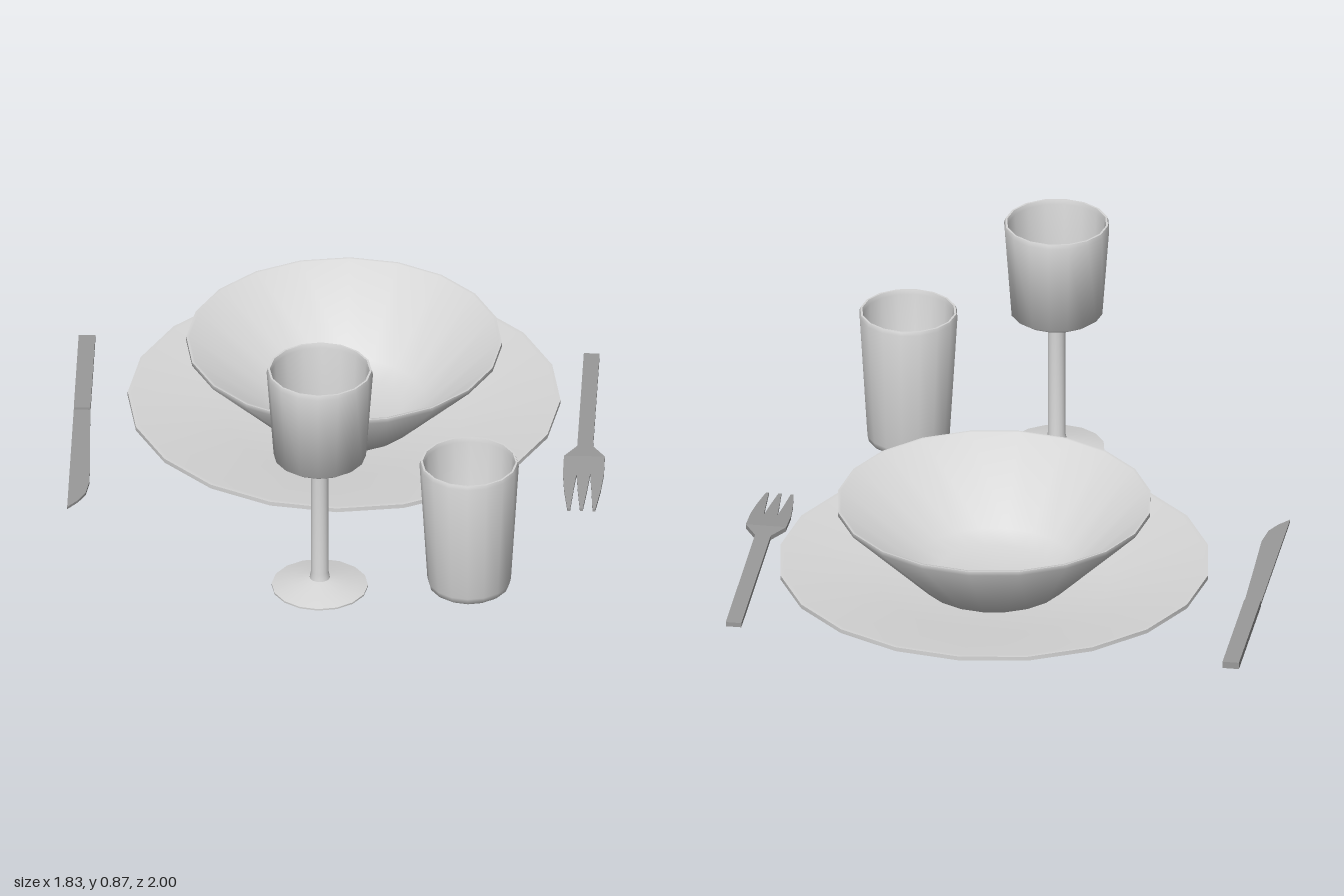
import * as THREE from 'three';
import { toCreasedNormals } from 'three/addons/utils/BufferGeometryUtils.js';

export function createModel() {
  const model = new THREE.Group();
  const china = new THREE.MeshStandardMaterial({ color: 0xd6d6d6 });
  china.name = 'pale china';
  const steel = new THREE.MeshStandardMaterial({ color: 0x9a9a9a });
  steel.name = 'grey steel';

  // Turned vessel: profile runs from the underside, over the rim, to the inner floor
  function turned(name, profile, sides, x, z) {
    const points = profile.map(([r, y]) => new THREE.Vector2(r, y));
    const geometry = toCreasedNormals(new THREE.LatheGeometry(points, sides), 0.95);
    const mesh = new THREE.Mesh(geometry, china);
    mesh.name = name;
    mesh.position.set(x, 0, z);
    model.add(mesh);
  }

  // Flat metal piece: outline in x and z, its top following height(z)
  function slab(parent, name, outline, thickness, height) {
    const shape = new THREE.Shape(outline.map(([x, z]) => new THREE.Vector2(x, z)));
    const geometry = new THREE.ExtrudeGeometry(shape, { depth: thickness, bevelEnabled: false });
    geometry.rotateX(Math.PI / 2);
    const p = geometry.attributes.position;
    for (let i = 0; i < p.count; i++) p.setY(i, p.getY(i) + height(p.getZ(i)));
    geometry.computeVertexNormals();
    const mesh = new THREE.Mesh(geometry, steel);
    mesh.name = name;
    parent.add(mesh);
  }

  // Plate and bowl
  turned('plate', [
    [0, 0], [0.37, 0], [0.74, 0.09], [0.74, 0.105], [0.725, 0.105], [0.4, 0.03], [0, 0.03],
  ], 20, 0.01, -0.26);
  turned('bowl', [
    [0, 0.03], [0.25, 0.03], [0.54, 0.315], [0.54, 0.33], [0.53, 0.33],
    [0.28, 0.085], [0.2, 0.06], [0, 0.05],
  ], 20, 0.01, -0.26);

  // Stemmed glass
  turned('stemmedGlass', [
    [0, 0], [0.165, 0], [0.165, 0.006], [0.1, 0.022], [0.035, 0.035], [0.03, 0.06],
    [0.03, 0.49], [0.14, 0.512], [0.158, 0.525], [0.182, 0.85], [0.178, 0.865],
    [0.171, 0.865], [0.167, 0.85], [0.152, 0.535], [0, 0.535],
  ], 16, -0.035, 0.815);

  // Tumbler
  turned('tumbler', [
    [0, 0], [0.125, 0], [0.138, 0.01], [0.143, 0.03], [0.17, 0.482], [0.166, 0.495],
    [0.159, 0.495], [0.155, 0.48], [0.132, 0.06], [0.12, 0.03], [0.08, 0.02], [0, 0.02],
  ], 16, 0.475, 0.795);

  // Knife
  const knife = new THREE.Group();
  knife.name = 'knife';
  slab(knife, 'knifeHandle', [
    [-0.915, -0.75], [-0.858, -0.75], [-0.858, -0.275], [-0.915, -0.275],
  ], 0.024, () => 0.03);
  slab(knife, 'knifeBlade', [
    [-0.915, -0.275], [-0.858, -0.275], [-0.85, 0], [-0.844, 0.19],
    [-0.855, 0.27], [-0.88, 0.32], [-0.915, 0.365],
  ], 0.009, () => 0.021);
  model.add(knife);

  // Fork, arched so that it is highest at the shoulders
  const fork = new THREE.Group();
  fork.name = 'fork';
  const arch = (z) => (z < 0 ? 0.04 + z * 0.026 : 0.04 - z * 0.09);
  slab(fork, 'forkHandle', [
    [0.814, -0.705], [0.868, -0.705], [0.868, -0.07], [0.814, -0.07],
  ], 0.016, arch);
  slab(fork, 'forkNeck', [
    [0.814, -0.07], [0.868, -0.07], [0.911, 0], [0.771, 0],
  ], 0.016, arch);
  slab(fork, 'forkHead', [
    [0.771, 0], [0.911, 0], [0.911, 0.1], [0.771, 0.1],
  ], 0.013, arch);
  for (const side of [-1, 0, 1]) {
    const base = 0.841 + side * 0.0467;
    const tip = 0.841 + side * 0.043;
    slab(fork, 'forkTine', [
      [base - 0.0233, 0.1], [base + 0.0233, 0.1], [base + 0.016, 0.19],
      [tip + 0.005, 0.3], [tip - 0.005, 0.3], [base - 0.016, 0.19],
    ], 0.01, arch);
  }
  model.add(fork);

  return model;
}
